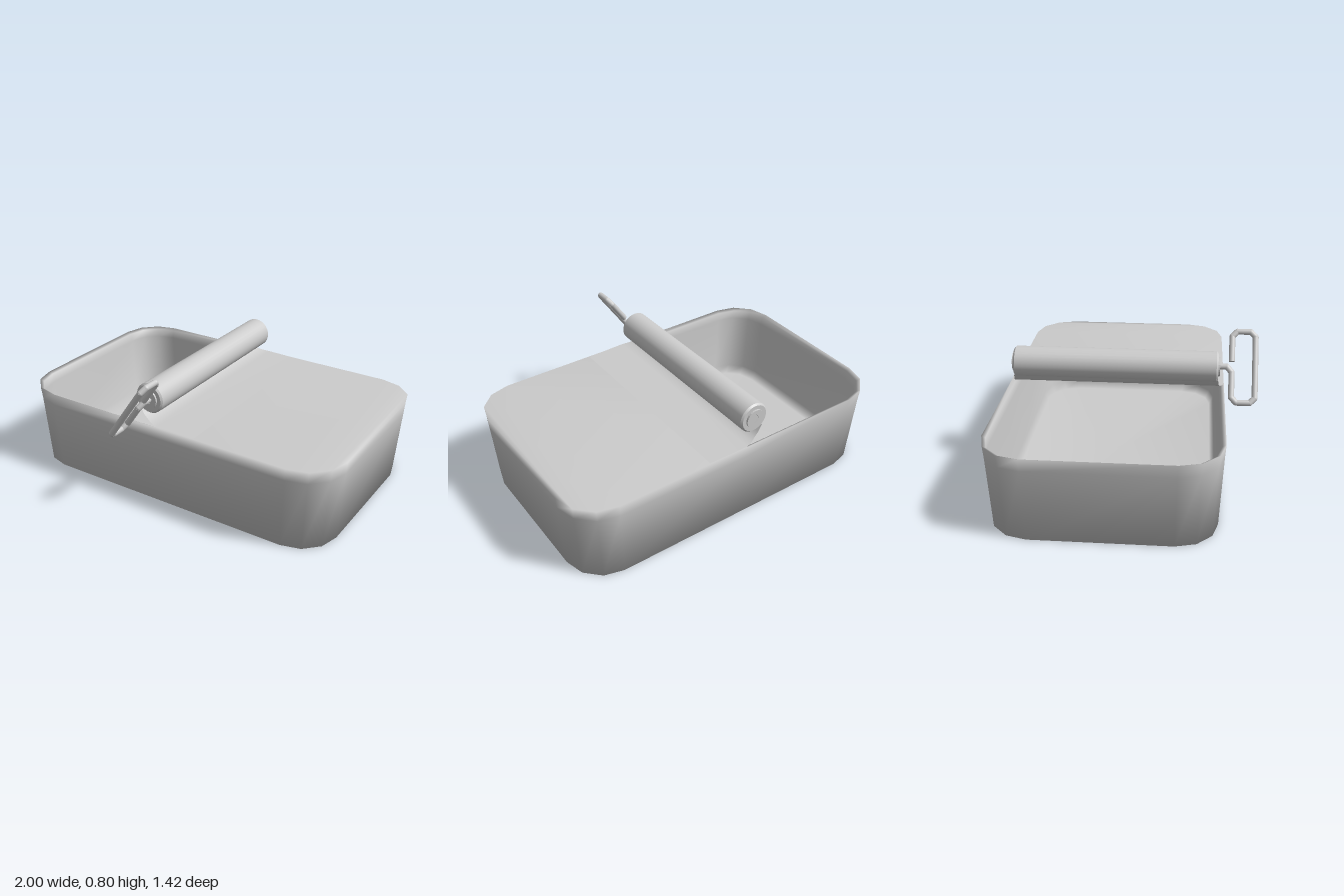
import * as THREE from 'three';
import { mergeGeometries } from 'three/addons/utils/BufferGeometryUtils.js';

const MID_Z = -0.0925; // the can sits slightly behind the origin, the key sticks out in front
const LID_X = -0.02;   // where the lid starts to peel up
const material = new THREE.MeshStandardMaterial({ color: 0xcccccc });
const sheet = new THREE.MeshStandardMaterial({ color: 0xcccccc, side: THREE.DoubleSide });

function add(parent, name, geometry, mat = material) {
  const mesh = new THREE.Mesh(geometry, mat);
  mesh.name = name;
  parent.add(mesh);
  return mesh;
}

function buildGeometry(positions, index) {
  const g = new THREE.BufferGeometry();
  g.setAttribute('position', new THREE.Float32BufferAttribute(positions, 3));
  g.setIndex(index);
  g.computeVertexNormals();
  return g;
}

// Rounded rectangle with three facets per corner, plus a point at LID_X on each long side
function outline(hx, hz, r) {
  const pts = [];
  [[1, 1], [-1, 1], [-1, -1], [1, -1]].forEach(([sx, sz], corner) => {
    for (let i = 0; i <= 3; i++) {
      const a = (corner + i / 3) * Math.PI / 2;
      pts.push([sx * (hx - r) + r * Math.cos(a), sz * (hz - r) + r * Math.sin(a)]);
    }
    if (corner === 0) pts.push([LID_X, hz]);
    if (corner === 2) pts.push([LID_X, -hz]);
  });
  return pts;
}

// Can: outer wall, rim, inner wall and floor in one loft, with the closed half of the lid
function canGeometry() {
  const rings = [ // half length, half width, corner radius, height
    [0.965, 0.595, 0.22, 0],
    [0.994, 0.613, 0.23, 0.41],
    [1.0, 0.6175, 0.23, 0.48],
    [0.978, 0.598, 0.21, 0.468],
    [0.965, 0.59, 0.2, 0.42],
    [0.935, 0.575, 0.2, 0.06],
    [0.89, 0.55, 0.19, 0.02],
  ];
  const n = 18, top = 2, positions = [], index = [];
  for (const [hx, hz, r, y] of rings)
    for (const [x, z] of outline(hx, hz, r)) positions.push(x, y, z + MID_Z);
  for (let k = 0; k < rings.length - 1; k++)
    for (let i = 0; i < n; i++) {
      const a = k * n + i, b = k * n + (i + 1) % n;
      index.push(a, a + n, b, b, a + n, b + n);
    }
  // underside and inner floor
  const under = rings.length * n, floor = under + 1, last = (rings.length - 1) * n;
  positions.push(0, 0, MID_Z, 0, 0.02, MID_Z);
  for (let i = 0; i < n; i++) {
    const j = (i + 1) % n;
    index.push(under, i, j, last + i, floor, last + j);
  }
  // lid strips between matching front and back points of the rim
  for (let k = 0; k < 4; k++) {
    const f = top * n + 4 - k, b = top * n + 13 + k;
    index.push(b, f, f - 1, b, f - 1, b + 1);
  }
  return buildGeometry(positions, index);
}

// Peeled part of the lid, rising from the rim to the roll
function peelGeometry() {
  const rows = [ // x, y, half width
    [0.22, 0.481, 0.612], [LID_X, 0.484, 0.6175], [-0.06, 0.49, 0.605],
    [-0.09, 0.5, 0.592], [-0.12, 0.52, 0.585], [-0.145, 0.555, 0.58],
  ];
  const positions = [], index = [];
  rows.forEach(([x, y, w], k) => {
    positions.push(x, y, MID_Z + w, x, y, MID_Z - w);
    if (k) {
      const a = 2 * k - 2;
      index.push(a, a + 1, a + 2, a + 1, a + 3, a + 2);
    }
  });
  // corners ordered so the outside faces up
  for (let i = 0; i < index.length; i += 3) [index[i + 1], index[i + 2]] = [index[i + 2], index[i + 1]];
  return buildGeometry(positions, index);
}

// Wire made of straight rods with rounded joints
function wireGeometry(points, radius) {
  const parts = [];
  for (let i = 0; i < points.length - 1; i++) {
    const a = points[i], b = points[i + 1], d = b.clone().sub(a);
    const rod = new THREE.CylinderGeometry(radius, radius, d.length(), 10);
    rod.applyQuaternion(new THREE.Quaternion().setFromUnitVectors(
      new THREE.Vector3(0, 1, 0), d.clone().normalize()));
    const m = a.clone().add(b).multiplyScalar(0.5);
    parts.push(rod.translate(m.x, m.y, m.z));
    if (i) parts.push(new THREE.SphereGeometry(radius, 10, 8).translate(a.x, a.y, a.z));
  }
  return mergeGeometries(parts);
}

export function createModel() {
  const model = new THREE.Group();
  model.name = 'openedCan';

  add(model, 'can', canGeometry(), sheet);
  add(model, 'peeledLid', peelGeometry(), sheet);

  // Rolled-up lid with softened end edges
  const roll = new THREE.Group();
  roll.name = 'lidRoll';
  roll.position.set(-0.09, 0.617, 0);
  model.add(roll);
  const profile = [[0, -0.672], [0.078, -0.672], [0.078, -0.672], [0.087, -0.662], [0.087, -0.662],
    [0.087, 0.476], [0.087, 0.476], [0.078, 0.486], [0.078, 0.486], [0, 0.486]]
    .map(([r, y]) => new THREE.Vector2(r, y));
  add(roll, 'rolledSheet', new THREE.LatheGeometry(profile, 28).rotateX(Math.PI / 2));

  // Core ends with a square hole
  const ring = new THREE.Shape().absarc(0, 0, 0.055, 0, Math.PI * 2);
  const h = 0.02;
  ring.holes.push(new THREE.Path([[-h, -h], [-h, h], [h, h], [h, -h]].map(p => new THREE.Vector2(...p))));
  for (const z of [-0.682, 0.476]) {
    const core = add(roll, 'rollCore', new THREE.ExtrudeGeometry(ring,
      { depth: 0.02, bevelEnabled: false, curveSegments: 12 }));
    core.position.z = z;
    core.rotation.z = -0.6;
  }

  // Key: shaft bent into a chamfered rectangular handle with a small gap
  const zIn = 0.562, zOut = 0.693, v = 0.205, c = 0.028;
  const path = [
    [0, 0.44], [0, 0.535], [-0.032, zIn], [-v + c, zIn], [-v, zIn + c], [-v, zOut - c],
    [-v + c, zOut], [v - c, zOut], [v, zOut - c], [v, zIn + c], [v - c, zIn], [0.03, zIn],
  ].map(([y, z]) => new THREE.Vector3(0, y, z));
  const key = add(model, 'key', wireGeometry(path, 0.017));
  key.position.set(-0.083, 0.617, 0);
  key.rotation.z = -0.61;

  return model;
}
